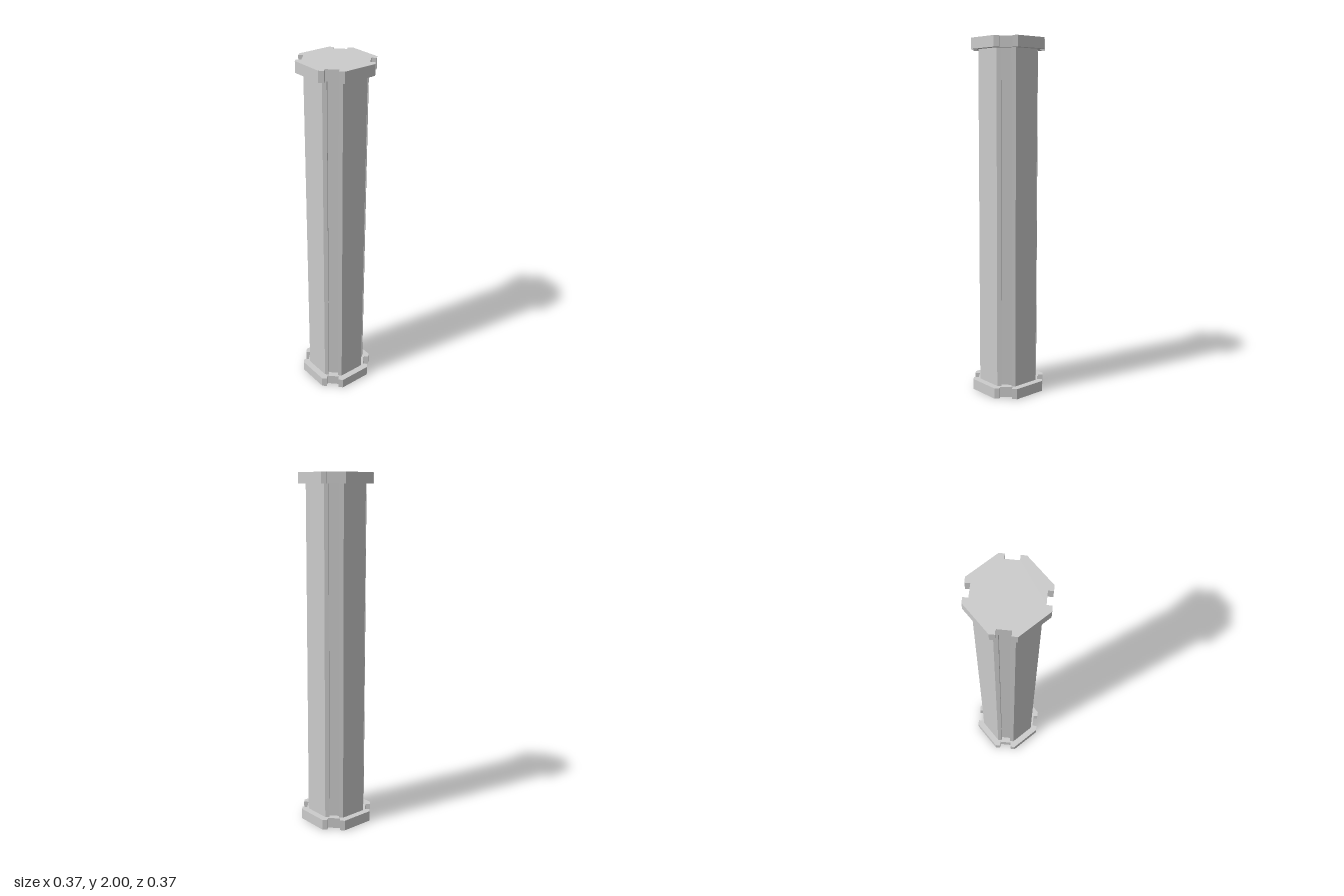
import * as THREE from 'three';

const HEIGHT = 2;
const CAP_HEIGHT = 0.06;

// One chamfered corner with its undercut notch; repeated by quarter turns
const CORNER = [
  [0.187, 0.096], [0.166, 0.116], [0.147, 0.097],
  [0.097, 0.147], [0.116, 0.166], [0.096, 0.187],
];

function notchedOctagon(scale) {
  const points = [];
  for (let i = 0; i < 4; i++) {
    for (const [x, y] of CORNER) {
      const p = new THREE.Vector2(x, y).multiplyScalar(scale);
      points.push(p.rotateAround(new THREE.Vector2(), i * Math.PI / 2));
    }
  }
  return new THREE.Shape(points);
}

export function createModel() {
  const group = new THREE.Group();
  group.name = 'column';
  const material = new THREE.MeshStandardMaterial({ color: 0xcccccc, flatShading: true });

  // Upright prism with the notched outline, standing at height y
  function addPrism(name, scale, y, height) {
    const geometry = new THREE.ExtrudeGeometry(notchedOctagon(scale), { depth: height, bevelEnabled: false });
    geometry.rotateX(-Math.PI / 2);
    const mesh = new THREE.Mesh(geometry, material);
    mesh.name = name;
    mesh.position.y = y;
    group.add(mesh);
  }

  addPrism('base', 1, 0, CAP_HEIGHT);
  addPrism('shaft', 0.805, CAP_HEIGHT, HEIGHT - 2 * CAP_HEIGHT);
  addPrism('capital', 1, HEIGHT - CAP_HEIGHT, CAP_HEIGHT);
  return group;
}
